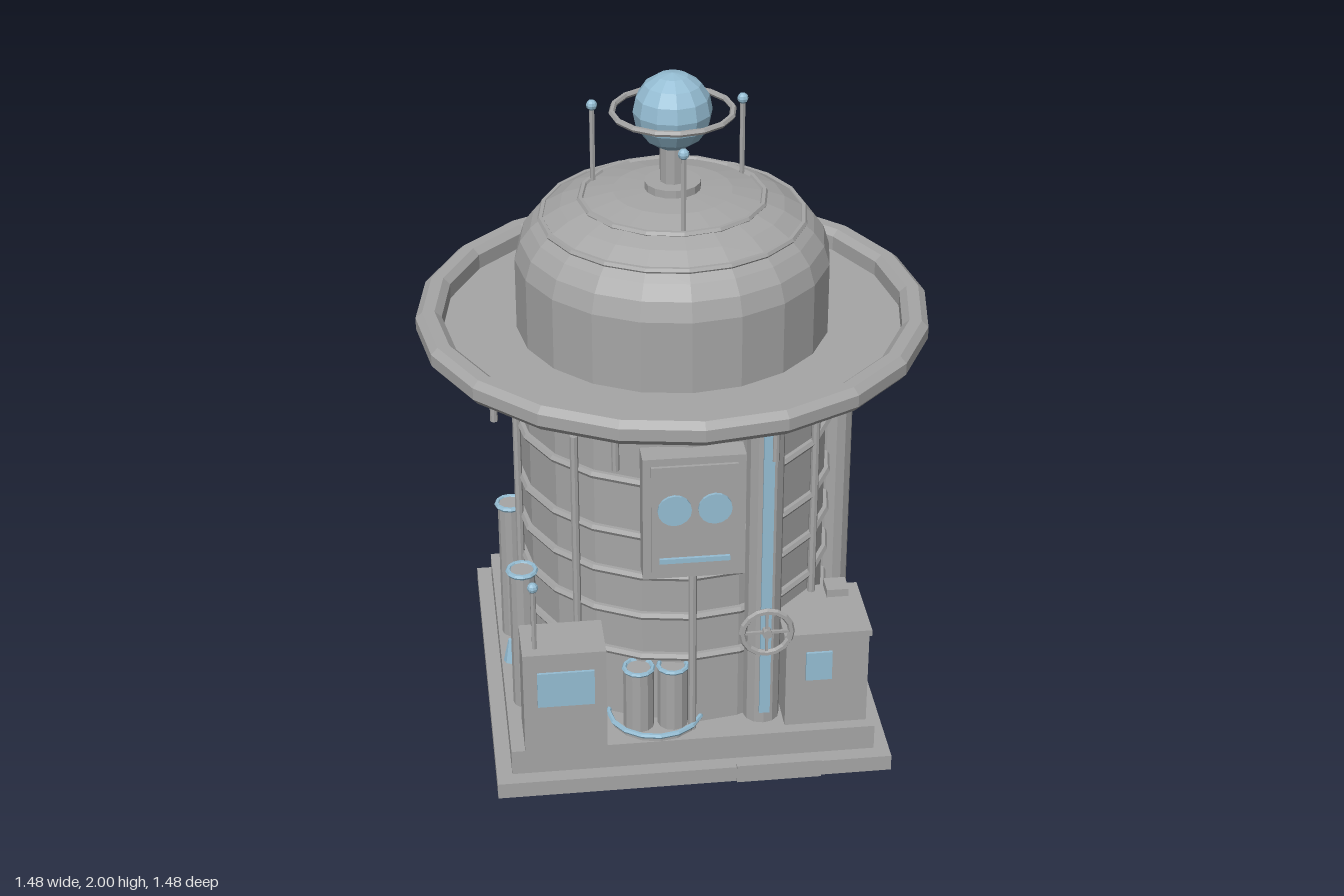
import * as THREE from 'three';

const grey = new THREE.MeshStandardMaterial({ color: 0xa6a6a6, flatShading: true });
grey.name = 'metal grey';
const blue = new THREE.MeshStandardMaterial({ color: 0x95bdd3, flatShading: true });
blue.name = 'glass blue';

export function createModel() {
  const model = new THREE.Group();

  const add = (name, geo, mat, x = 0, y = 0, z = 0) => {
    const m = new THREE.Mesh(geo, mat);
    m.name = name;
    m.position.set(x, y, z);
    model.add(m);
    return m;
  };
  // Box given by its min and max corners
  const box = (name, mat, x0, x1, y0, y1, z0, z1) =>
    add(name, new THREE.BoxGeometry(x1 - x0, y1 - y0, z1 - z0), mat,
      (x0 + x1) / 2, (y0 + y1) / 2, (z0 + z1) / 2);
  // Upright cylinder from y0 to y1
  const post = (name, mat, x, z, r, y0, y1, sides = 12, rTop = r) =>
    add(name, new THREE.CylinderGeometry(rTop, r, y1 - y0, sides), mat, x, (y0 + y1) / 2, z);
  // Horizontal ring
  const ring = (name, mat, R, r, x, y, z, sides = 20) => {
    const m = add(name, new THREE.TorusGeometry(R, r, 6, sides), mat, x, y, z);
    m.rotation.x = Math.PI / 2;
    return m;
  };
  const lathe = (name, pts, sides, x = 0, z = 0) =>
    add(name, new THREE.LatheGeometry(pts.map(p => new THREE.Vector2(...p)), sides), grey, x, 0, z);
  const polar = (deg, r) => {
    const a = deg * Math.PI / 180;
    return [Math.sin(a) * r, Math.cos(a) * r];
  };

  // Stepped base with thin edging plates
  box('baseSlab', grey, -0.58, 0.58, 0, 0.05, -0.58, 0.58);
  box('baseStep', grey, -0.535, 0.535, 0.05, 0.13, -0.535, 0.535);
  box('frontEdgePlate', grey, 0.12, 0.37, 0, 0.058, 0.57, 0.587);
  box('sideEdgePlate', grey, 0.57, 0.587, 0, 0.058, -0.37, -0.12);

  // Drum body with hoops and upright ribs
  post('body', grey, 0, 0, 0.455, 0.13, 1.1, 20);
  for (const y of [0.37, 0.51, 0.645, 0.78, 0.955]) ring('bodyHoop', grey, 0.46, 0.013, 0, y, 0);
  for (const deg of [54, 191, 236, 278, 317]) {
    const [x, z] = polar(deg, 0.47);
    post('bodyRib', grey, x, z, 0.012, 0.13, 1.065, 8);
  }

  // Flared brim with a raised rolled edge
  lathe('brim', [[0, 1.08], [0.45, 1.08], [0.69, 1.23], [0.725, 1.232], [0.74, 1.25], [0.74, 1.285],
    [0.72, 1.303], [0.685, 1.303], [0.665, 1.285], [0.665, 1.24], [0, 1.24]], 20);
  for (let i = 0; i < 8; i++) {
    const [x, z] = polar(22.5 + i * 45, 0.58);
    post('hangingRod', grey, x, z, 0.011, 1.06, 1.18, 8);
  }

  // Dome and its trim rings
  lathe('dome', [[0.452, 1.24], [0.452, 1.455], [0.435, 1.51], [0.405, 1.55], [0.37, 1.58], [0.32, 1.61],
    [0.265, 1.63], [0.17, 1.65], [0, 1.66]], 20);
  ring('domeTrim', grey, 0.375, 0.01, 0, 1.575, 0);
  ring('domeTrim', grey, 0.262, 0.01, 0, 1.63, 0, 16);

  // Beacon on a stem with an orbit ring
  post('beaconCollar', grey, 0, 0, 0.08, 1.65, 1.678, 16);
  post('beaconStem', grey, 0, 0, 0.037, 1.67, 1.8, 10);
  add('beaconGlobe', new THREE.SphereGeometry(0.112, 12, 8), blue, 0, 1.888, 0);
  ring('beaconRing', grey, 0.17, 0.009, 0, 1.888, 0, 16);

  // Antennas with round tips
  const antenna = (x, z, y0, y1) => {
    post('antennaRod', grey, x, z, 0.008, y0, y1, 6);
    add('antennaTip', new THREE.SphereGeometry(0.016, 8, 6), blue, x, y1, z);
  };
  for (const deg of [0, 120, 240]) antenna(...polar(deg, 0.248), 1.62, 1.863);

  // Face panel on a thin post
  box('facePanel', grey, -0.145, 0.145, 0.68, 1.07, 0.44, 0.51);
  box('facePlate', grey, -0.122, 0.122, 0.703, 1.047, 0.51, 0.519);
  post('panelPost', grey, 0, 0.48, 0.012, 0.13, 0.7, 8);
  for (const x of [-0.057, 0.057]) {
    const eye = add('eye', new THREE.CylinderGeometry(0.048, 0.048, 0.009, 16), blue, x, 0.91, 0.523);
    eye.rotation.x = Math.PI / 2;
  }
  box('mouth', blue, -0.1, 0.1, 0.738, 0.753, 0.519, 0.528);

  // Front pipe with gauge strip and hand wheel
  post('frontPipe', grey, 0.203, 0.48, 0.053, 0.17, 1.18);
  box('gaugeStrip', blue, 0.189, 0.22, 0.21, 1.175, 0.531, 0.54);
  add('handWheel', new THREE.TorusGeometry(0.071, 0.01, 6, 16), grey, 0.205, 0.5, 0.55);
  const hub = add('wheelHub', new THREE.CylinderGeometry(0.014, 0.014, 0.04, 8), grey, 0.205, 0.5, 0.545);
  hub.rotation.x = Math.PI / 2;
  for (const a of [0, Math.PI / 2]) {
    const spoke = add('wheelSpoke', new THREE.BoxGeometry(0.14, 0.008, 0.008), grey, 0.205, 0.5, 0.55);
    spoke.rotation.z = a;
  }

  // Side pipe with a domed cap
  lathe('sidePipe', [[0, 0.17], [0.055, 0.17], [0.055, 1.12], [0.042, 1.138], [0, 1.145]], 12, 0.485, 0);

  // Bulging tank at the rear corner
  lathe('tank', [[0, 0.13], [0.13, 0.13], [0.148, 0.4], [0.156, 0.6], [0.148, 0.8], [0.135, 1.02],
    [0.148, 1.025], [0.148, 1.045], [0.135, 1.055], [0.075, 1.055], [0.075, 1.09], [0, 1.09]], 14, 0.39, -0.4);
  ring('tankNeckBand', blue, 0.077, 0.009, 0.39, 1.07, -0.4, 14);
  ring('tankCapRing', grey, 0.077, 0.01, 0.39, 1.088, -0.4, 14);

  // Left console with screen and antenna
  box('leftConsole', grey, -0.495, -0.255, 0.13, 0.465, 0.38, 0.54);
  box('leftScreen', blue, -0.455, -0.29, 0.29, 0.405, 0.54, 0.548);
  antenna(-0.457, 0.5, 0.46, 0.67);

  // Right console with lid, knob block and screen
  box('rightConsole', grey, 0.272, 0.515, 0.13, 0.43, 0.255, 0.5);
  box('consoleLid', grey, 0.265, 0.522, 0.43, 0.45, 0.25, 0.505);
  box('lidBlock', grey, 0.42, 0.485, 0.45, 0.475, 0.255, 0.32);
  box('rightScreen', blue, 0.33, 0.407, 0.29, 0.385, 0.5, 0.508);

  // Canisters on a ringed tray at the front
  post('tray', grey, -0.1, 0.4, 0.135, 0.13, 0.145, 16);
  ring('trayRing', blue, 0.138, 0.008, -0.1, 0.15, 0.4, 16);
  for (const x of [-0.155, -0.055]) {
    post('canister', grey, x, 0.46, 0.045, 0.13, 0.345, 12);
    ring('canisterRing', blue, 0.042, 0.007, x, 0.345, 0.46, 12);
  }

  // Short pipes on the left side
  for (const [x, z] of [[-0.475, 0.285], [-0.485, -0.09]]) {
    post('shortPipe', grey, x, z, 0.038, 0.13, 0.595, 12);
    ring('shortPipeRing', blue, 0.04, 0.008, x, 0.592, z, 12);
  }

  // Small floor cones
  for (const [x, z] of [[0.51, -0.25], [-0.505, 0.07]]) post('floorCone', blue, x, z, 0.024, 0.13, 0.205, 8, 0.008);

  return model;
}
